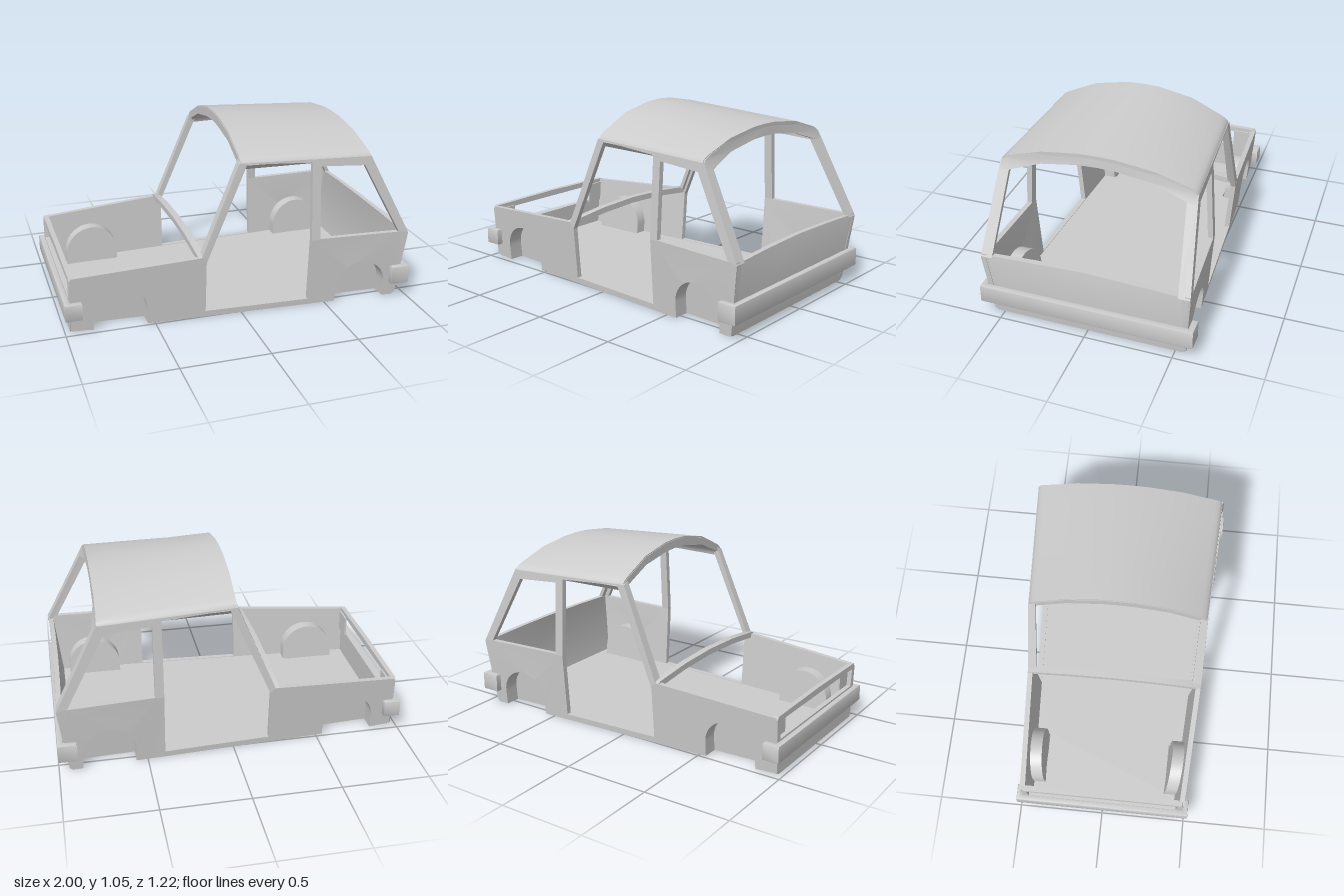
import * as THREE from 'three';
import { toCreasedNormals } from 'three/addons/utils/BufferGeometryUtils.js';

const material = new THREE.MeshStandardMaterial({ color: 0xcccccc, side: THREE.DoubleSide });
const SIDES = [1, -1];
const WALL = 0.03;
const WHEELS = [-0.69, 0.715], R = 0.15, AXLE = 0.09;

// Half width of the body: widest at the belt line, leaning in above and below
function halfWidth(x, y) {
  const belt = x < -0.21 ? 0.53 + (x + 0.21) * 0.055 : 0.53 + (x + 0.21) * 0.05;
  return belt - (y > 0.38 ? (y - 0.38) * 0.06 : (0.38 - y) * 0.08);
}
// Slope of the windscreen and of the tail
const screenX = y => Math.min(-0.015, -0.235 + (y - 0.38) * 0.42);
const tailX = y => y < 0.4 ? 0.94 + y * 0.125
  : y < 0.88 ? 0.99 - (y - 0.4) * 0.51 : 0.745 - (y - 0.88) * 0.1;

const poly = pts => new THREE.Shape(pts.map(p => new THREE.Vector2(p[0], p[1])));
const mirrored = pts => [...pts, ...pts.slice().reverse().filter(p => p[0] !== 0).map(p => [-p[0], p[1]])];
const extrude = (shape, depth, opts = {}) =>
  new THREE.ExtrudeGeometry(shape, { depth, bevelEnabled: false, curveSegments: 14, ...opts });

function warp(geo, rule) {
  const p = geo.attributes.position;
  for (let i = 0; i < p.count; i++) p.setXYZ(i, ...rule(p.getX(i), p.getY(i), p.getZ(i)));
  return geo;
}

export function createModel() {
  const group = new THREE.Group();
  const add = (name, geo) => {
    const mesh = new THREE.Mesh(toCreasedNormals(geo, 0.6), material);
    mesh.name = name;
    group.add(mesh);
    return mesh;
  };

  // Panel drawn in x/y that follows both body sides
  const sidePanel = (name, shape, depth = WALL, inset = 0) => {
    for (const s of SIDES) {
      add((s > 0 ? 'near' : 'far') + name, warp(extrude(shape, depth), (x, y, z) => {
        const w = halfWidth(x, y) - inset;
        return [x, y, s > 0 ? w - depth + z : z - w];
      }));
    }
  };
  // Panel drawn across the body, u being the fraction of the half width
  const crossPanel = (name, shape, depth, xOf) =>
    add(name, warp(extrude(shape, depth), (u, y, d) => {
      const x = xOf(y);
      return [x + d, y, -u * halfWidth(x, y)];
    }));

  // Fenders and rear quarters with wheel arches
  const archPath = (shape, cx, r) => {
    shape.lineTo(cx - r, 0);
    shape.lineTo(cx - r, AXLE);
    shape.absarc(cx, AXLE, r, Math.PI, 0, true);
    shape.lineTo(cx + r, 0);
    return shape;
  };
  const outline = (start, cx, rest) => {
    const s = new THREE.Shape();
    s.moveTo(...start);
    archPath(s, cx, R);
    rest.forEach(p => s.lineTo(...p));
    return s;
  };
  sidePanel('FrontFender', outline([-0.965, 0.01], WHEELS[0],
    [[-0.21, 0], [-0.21, 0.345], [-0.235, 0.375], [-0.955, 0.33], [-0.968, 0.315]]));
  sidePanel('RearQuarter', outline([0.4, 0], WHEELS[1],
    [[0.925, 0], [0.942, 0.015], [0.988, 0.39], [0.985, 0.415], [0.93, 0.41], [0.4, 0.415]]));

  // Sills, pillars and roof rails
  sidePanel('Sill', poly([[-0.21, 0], [0.4, 0], [0.4, 0.035], [-0.21, 0.035]]));
  sidePanel('FrontPillar', poly([[-0.237, 0.375], [-0.21, 0.34], [0.025, 0.885], [-0.015, 0.895]]));
  sidePanel('MiddlePillar', poly([[0.4, 0.41], [0.45, 0.41], [0.45, 0.845], [0.4, 0.87]]));
  sidePanel('RearPillar', poly([[0.93, 0.41], [0.985, 0.41], [0.745, 0.88], [0.71, 0.825]]));
  sidePanel('RoofRail', poly([[-0.013, 0.885], [0.025, 0.885], [0.4, 0.865], [0.45, 0.84],
    [0.71, 0.825], [0.755, 0.86], [0.742, 0.875], [-0.012, 0.893]]));

  // Wheel wells closed on the inside
  for (const cx of WHEELS) {
    const r = R + 0.01;
    const shell = archPath(new THREE.Shape().moveTo(cx - r, 0), cx, r);
    shell.lineTo(cx + R, 0);
    shell.lineTo(cx + R, AXLE);
    shell.absarc(cx, AXLE, R, 0, Math.PI, false);
    shell.lineTo(cx - R, 0);
    sidePanel('WheelWell', shell, 0.08, 0.02);
    sidePanel('WheelWellCap', archPath(new THREE.Shape().moveTo(cx - r, 0), cx, r), 0.01, 0.09);
  }

  // Floor notched around the wheels
  const edge = x => [x, halfWidth(x, 0) - 0.006];
  const notch = cx => {
    const z = halfWidth(cx, 0) - 0.1;
    return [edge(cx - R), [cx - R, z], [cx + R, z], edge(cx + R)];
  };
  const rim = [edge(-0.96), ...notch(WHEELS[0]), edge(-0.21), ...notch(WHEELS[1]), edge(0.935)];
  const floor = poly([...rim, ...rim.slice().reverse().map(p => [p[0], -p[1]])]);
  add('floor', extrude(floor, 0.032).rotateX(-Math.PI / 2));

  // Nose with a grille opening and lamp plates
  const nose = poly(mirrored([[0, 0], [0.97, 0], [1, 0.02], [1, 0.31], [0.97, 0.335], [0, 0.342]]));
  nose.holes.push(poly([[-0.93, 0.2], [0.93, 0.2], [0.93, 0.305], [-0.93, 0.305]]));
  crossPanel('nose', nose, 0.028, () => -0.97);
  for (const s of SIDES) {
    add('lampPlate', new THREE.BoxGeometry(0.012, 0.125, 0.12).translate(-0.938, 0.25, s * 0.4));
  }

  // Cowl bar and windscreen frame
  const band = (top, bottom) => poly([...mirroredRow(top), ...mirroredRow(bottom).reverse()]);
  const mirroredRow = pts => [...pts.slice(1).reverse().map(p => [-p[0], p[1]]), ...pts];
  const cowl = [[0, 0.42], [0.5, 0.41], [0.96, 0.385], [1, 0.375]];
  crossPanel('cowlBar', band(cowl, cowl.map(p => [p[0], p[1] - 0.035])), 0.04, () => -0.258);
  for (const s of SIDES) {
    crossPanel('windscreenPost', poly([[s * 0.9, 0.37], [s, 0.37], [s, 0.893], [s * 0.92, 0.91]]), 0.025, screenX);
    crossPanel('tailPost', poly([[s * 0.89, 0.4], [s, 0.4], [s, 0.875], [s * 0.895, 0.88]]), 0.025, y => tailX(y) - 0.025);
  }

  // Arched roof, dropping towards the tail
  const arch = [[0, 1.055], [0.2, 1.05], [0.58, 1.012], [0.92, 0.93], [0.965, 0.915], [0.99, 0.9], [1, 0.88]];
  const drop = (y, d) => y - 0.3 * d * (y - 0.86);
  const under = arch.map(p => [p[0] * 0.95, p[1] - 0.028]);
  add('roof', warp(extrude(band(arch, under), 1, { steps: 6 }), (u, y, d) => {
    const x = -0.012 + 0.75 * d;
    return [x, drop(y, d), -u * halfWidth(x, y)];
  }));
  const inner = arch.map(p => [p[0] * 0.995, p[1] - 0.006]);
  crossPanel('windscreenHeader', band(inner,
    [[0, 1.0], [0.2, 0.995], [0.58, 0.96], [0.9, 0.885], [0.99, 0.875]]), 0.025, () => -0.015);
  crossPanel('tailHeader', band(inner.map(p => [p[0], drop(p[1], 1)]),
    [[0, 0.93], [0.2, 0.926], [0.58, 0.895], [0.895, 0.838], [0.99, 0.835]]), 0.025, y => tailX(y) - 0.025);

  // Tail panel below the rear window
  crossPanel('tailPanel', poly(mirrored([[0, 0], [0.97, 0], [1, 0.02], [1, 0.4], [0.9, 0.41], [0.5, 0.42], [0, 0.425]])),
    0.028, y => tailX(y) - 0.028);

  // Wrap-around bumpers
  const bumper = (name, end, back, half, y0, h) => {
    const b = 0.006, dir = Math.sign(end), bar = end - dir * 0.035, z = half - 0.035;
    const u = poly([[back, -half], [end, -half], [end, half], [back, half],
      [back, z], [bar, z], [bar, -z], [back, -z]]);
    const geo = extrude(u, h - 2 * b, { bevelEnabled: true, bevelSize: b, bevelThickness: b, bevelOffset: -b, bevelSegments: 2 });
    add(name, geo.rotateX(-Math.PI / 2).translate(0, y0 + b, 0));
  };
  bumper('frontBumper', -1, -0.905, 0.515, 0.092, 0.098);
  bumper('rearBumper', 1, 0.893, 0.61, 0.09, 0.108);

  return group;
}
